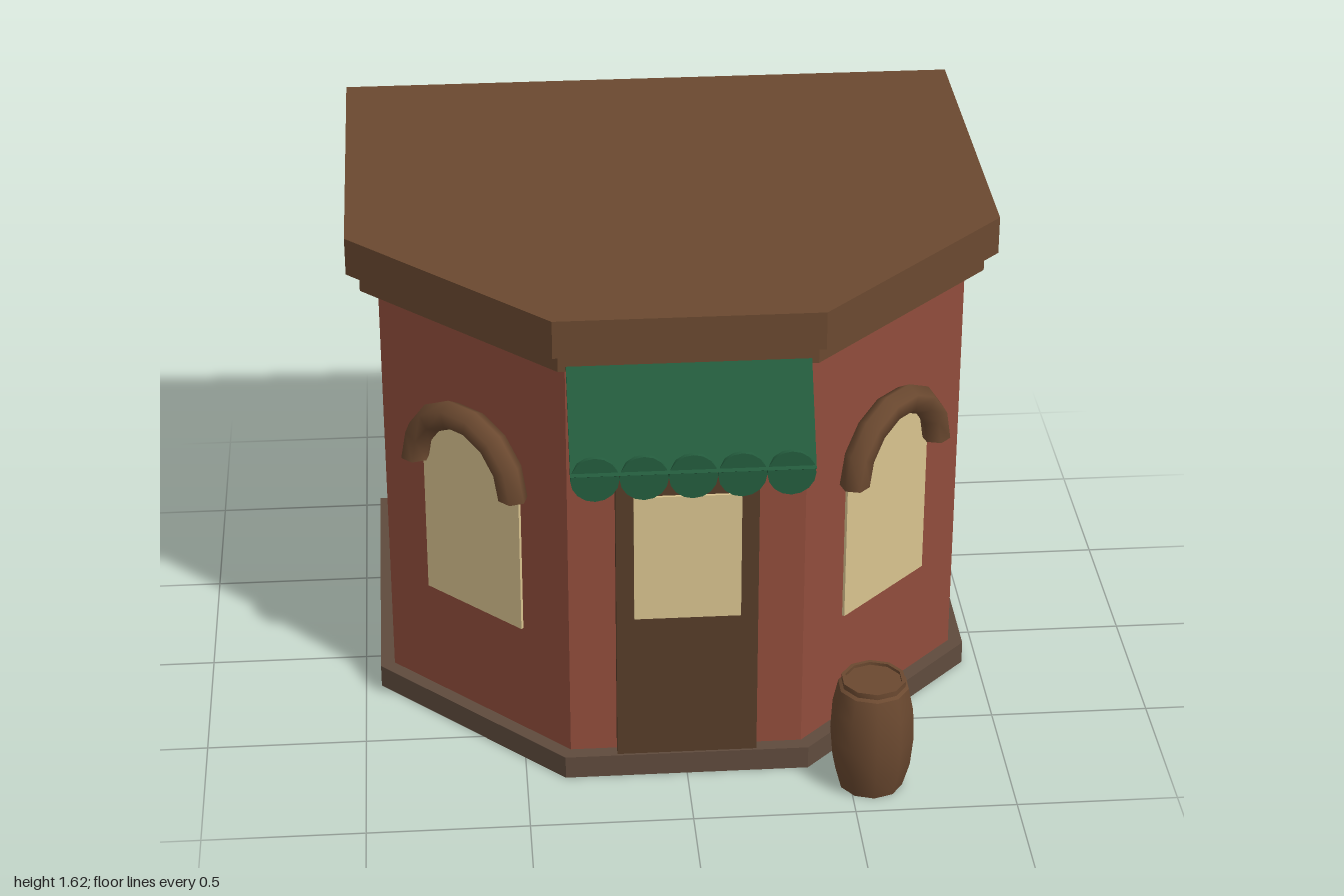
import * as THREE from 'three';
import { toCreasedNormals } from 'three/addons/utils/BufferGeometryUtils.js';

const mat = (name, color) => {
  const m = new THREE.MeshStandardMaterial({ color });
  m.name = name;
  return m;
};

export function createModel() {
  const model = new THREE.Group();
  model.name = 'cornerShop';

  const brick = mat('brick red', 0x914d3c);
  const wood = mat('trim brown', 0x6b4930);
  const doorWood = mat('door brown', 0x573d29);
  const stone = mat('base brown', 0x5f4b3d);
  const glass = mat('warm glass', 0xd9c38f);
  const cloth = mat('awning green', 0x245d3e);

  const add = (parent, name, geometry, material, x = 0, y = 0, z = 0) => {
    const mesh = new THREE.Mesh(geometry, material);
    mesh.name = name;
    mesh.position.set(x, y, z);
    parent.add(mesh);
    return mesh;
  };

  // Six-sided floor plan with two cut front corners, inset evenly from the roof edge
  const slab = (name, inset, y0, y1, material) => {
    const x = 1 - inset, front = 0.8 - inset, back = -0.965 + inset;
    const cut = 1.2 - inset * Math.SQRT2;
    const plan = [[-x, back], [-(x), cut - x], [-(cut - front), front],
      [cut - front, front], [x, cut - x], [x, back]];
    const shape = new THREE.Shape(plan.map(([px, pz]) => new THREE.Vector2(px, -pz)));
    const geometry = new THREE.ExtrudeGeometry(shape, { depth: y1 - y0, bevelEnabled: false });
    geometry.rotateX(-Math.PI / 2);
    add(model, name, geometry, material, 0, y0, 0);
  };
  slab('base', 0.05, 0, 0.075, stone);
  slab('walls', 0.095, 0.075, 1.435, brick);
  slab('cornice', 0.04, 1.435, 1.5, wood);
  slab('roof', 0, 1.5, 1.62, wood);

  // Door with its pane
  add(model, 'door', new THREE.BoxGeometry(0.434, 0.985, 0.042), doorWood, 0, 0.5675, 0.721);
  add(model, 'doorPane', new THREE.BoxGeometry(0.326, 0.425, 0.009), glass, 0, 0.785, 0.7495);

  // Arched windows on the two cut corners
  const pane = new THREE.Shape();
  pane.moveTo(-0.2, 0.45);
  pane.lineTo(0.2, 0.45);
  pane.lineTo(0.2, 0.93);
  pane.absarc(0, 0.93, 0.2, 0, Math.PI, false);
  pane.closePath();
  const paneGeometry = new THREE.ExtrudeGeometry(pane, { depth: 0.009, bevelEnabled: false, curveSegments: 8 });
  const archGeometry = new THREE.TorusGeometry(0.205, 0.046, 6, 7, Math.PI);
  const archEnd = new THREE.CircleGeometry(0.046, 6).rotateX(Math.PI / 2);
  for (const side of [-1, 1]) {
    const window = new THREE.Group();
    window.name = side > 0 ? 'leftWindow' : 'rightWindow';
    window.position.set(side * 0.632, 0, 0.434);
    window.rotation.y = side * Math.PI / 4;
    add(window, 'windowPane', paneGeometry, glass, 0, 0, 0.008);
    add(window, 'windowArch', archGeometry, wood, 0, 0.93, 0.046);
    for (const end of [-1, 1]) add(window, 'archEnd', archEnd, wood, end * 0.205, 0.93, 0.046);
    model.add(window);
  }

  // Sloping awning with a row of round scallops
  const awning = new THREE.Group();
  awning.name = 'awning';
  const rise = 0.275, reach = 0.17;
  const canopy = add(awning, 'canopy',
    new THREE.BoxGeometry(0.72, 0.02, Math.hypot(rise, reach)), cloth, 0, 1.32, 0.858);
  canopy.rotation.x = Math.atan2(rise, reach);
  const scallop = new THREE.CylinderGeometry(0.072, 0.072, 0.014, 16).rotateX(Math.PI / 2);
  for (let i = -2; i <= 2; i++) add(awning, 'scallop', scallop, cloth, i * 0.144, 1.173, 0.939);
  model.add(awning);

  // Barrel beside the door
  const profile = [[0, 0], [0.1, 0], [0.122, 0.08], [0.131, 0.18], [0.126, 0.28], [0.11, 0.355],
    [0.1, 0.362], [0.1, 0.38], [0.088, 0.38], [0.088, 0.37], [0, 0.37]];
  const barrel = new THREE.LatheGeometry(profile.map(([r, y]) => new THREE.Vector2(r, y)), 10);
  add(model, 'barrel', toCreasedNormals(barrel, 0.7), wood, 0.565, 0, 0.835);

  return model;
}
